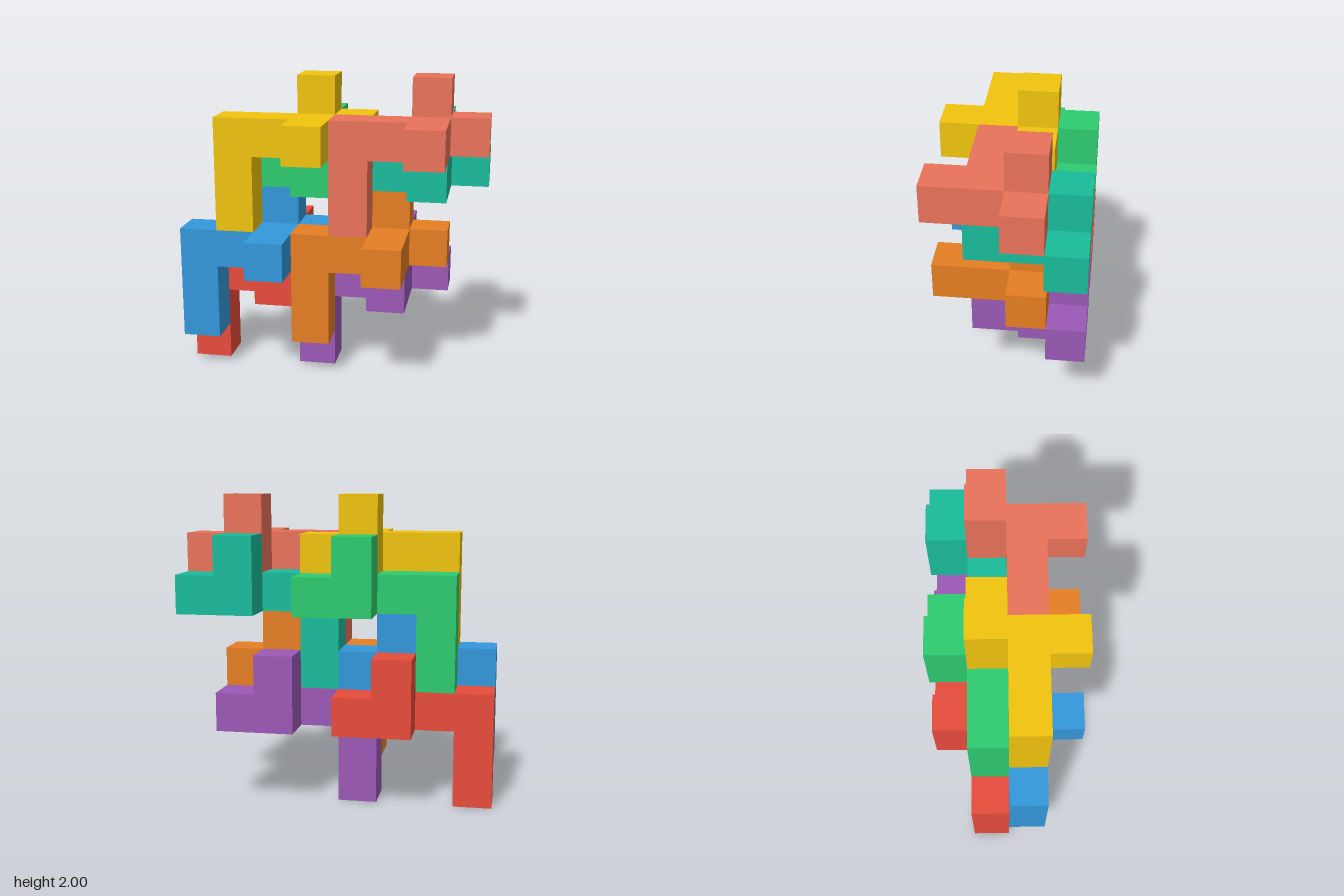
import * as THREE from 'three';
import { mergeGeometries } from 'three/addons/utils/BufferGeometryUtils.js';

const UNIT = 0.25;

// One nine-cube piece: leg, beam, then a branching end. Cells are [x, y, z].
const CELLS = [
  [0, 0, 0], [0, 1, 0], [0, 2, 0],            // leg
  [1, 2, 0], [2, 2, 0],                       // beam
  [2, 2, 1], [2, 2, -1],                      // front and back stubs
  [2, 3, -1], [3, 2, -1],                     // upper and side stubs
];

// Skin of the piece: a square only where a cube has no neighbour
function pieceGeometry() {
  const filled = new Set(CELLS.map(String));
  const directions = [[1, 0, 0], [-1, 0, 0], [0, 1, 0], [0, -1, 0], [0, 0, 1], [0, 0, -1]];
  const front = new THREE.Vector3(0, 0, 1);
  const faces = [];
  for (const cell of CELLS) {
    for (const d of directions) {
      if (filled.has(String(cell.map((c, a) => c + d[a])))) continue;
      const turn = new THREE.Quaternion().setFromUnitVectors(front, new THREE.Vector3(...d));
      const centre = cell.map((c, a) => (c + 0.5 + d[a] / 2) * UNIT);
      faces.push(new THREE.PlaneGeometry(UNIT, UNIT).applyQuaternion(turn).translate(...centre));
    }
  }
  return mergeGeometries(faces);
}

// Lowest leg cell of each interlocking piece, in cubes
const PIECES = [
  ['yellowPiece', 0xf1c40f, [-3, 4, 0]],
  ['salmonPiece', 0xe9735a, [0, 4, 0]],
  ['bluePiece', 0x3498db, [-4, 1, 0]],
  ['orangePiece', 0xe67e22, [-1, 1, 0]],
  ['greenPiece', 0x2ecc71, [-3, 3, -1]],
  ['tealPiece', 0x1abc9c, [0, 3, -1]],
  ['redPiece', 0xe74c3c, [-4, 0, -1]],
  ['purplePiece', 0x9b59b6, [-1, 0, -1]],
];

export function createModel() {
  const model = new THREE.Group();
  model.name = 'interlockingCubePieces';
  const geometry = pieceGeometry();
  for (const [name, color, cell] of PIECES) {
    const piece = new THREE.Mesh(geometry, new THREE.MeshStandardMaterial({ color }));
    piece.name = name;
    piece.position.set(...cell).multiplyScalar(UNIT);
    model.add(piece);
  }
  return model;
}
